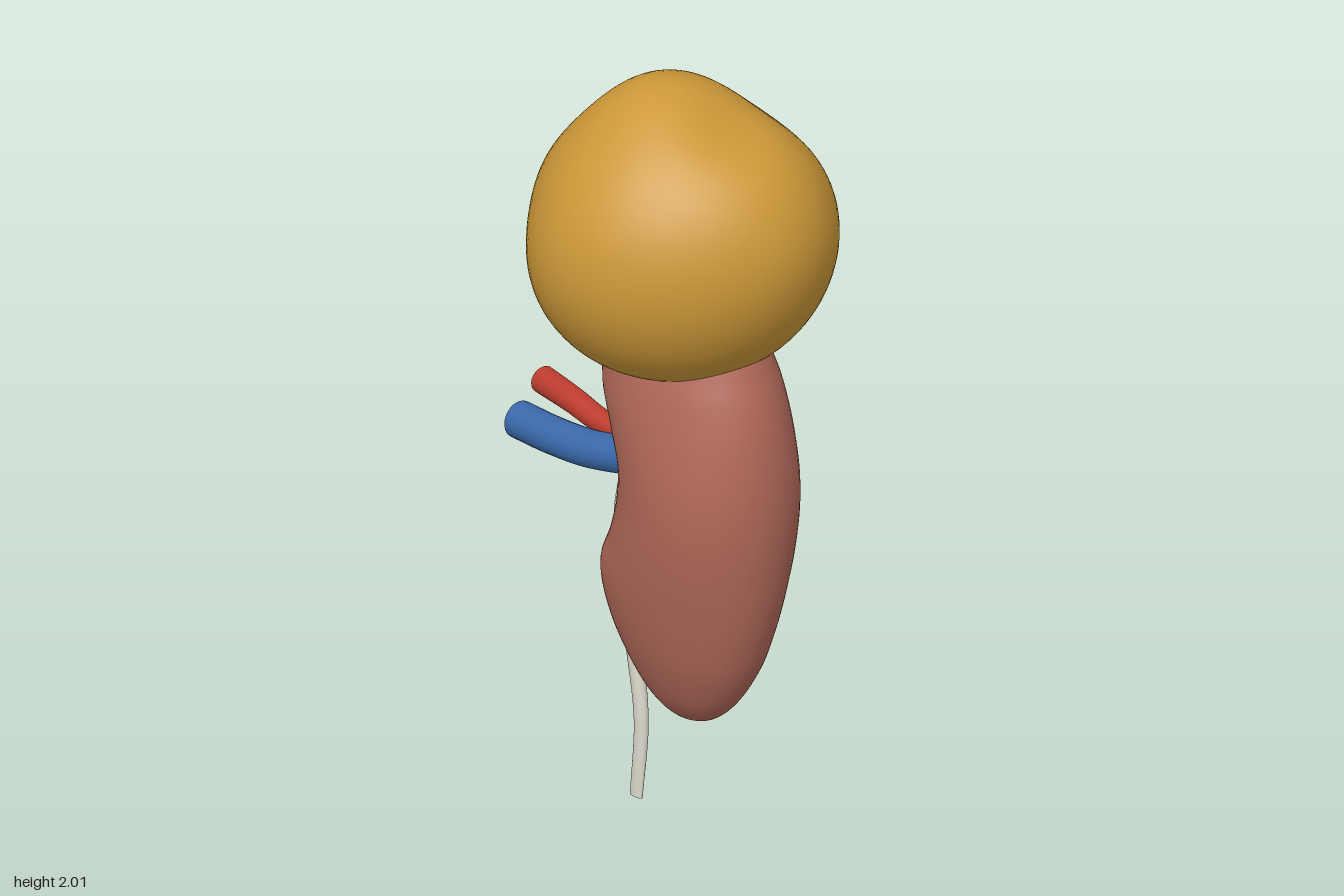
import * as THREE from 'three';
import { mergeVertices } from 'three/addons/utils/BufferGeometryUtils.js';

const V = (x, y, z) => new THREE.Vector3(x, y, z);
const mat = (name, color, side = THREE.FrontSide) => {
  const m = new THREE.MeshStandardMaterial({ color, side });
  m.name = name;
  return m;
};

// Weld seams and poles so the shading is smooth all round
function smooth(geo) {
  geo.deleteAttribute('uv');
  geo.deleteAttribute('normal');
  const g = mergeVertices(geo, 1e-5);
  g.computeVertexNormals();
  return g;
}

// Grid bent into a surface by fn(u, v)
function surface(fn, nu, nv) {
  const g = new THREE.PlaneGeometry(1, 1, nu, nv);
  const p = g.attributes.position;
  for (let i = 0; i < p.count; i++) {
    const q = fn(p.getX(i) + 0.5, p.getY(i) + 0.5);
    p.setXYZ(i, q.x, q.y, q.z);
  }
  return smooth(g);
}

// Tube whose width along x and z follows size(t)
function taperedTube(points, size, n = 48) {
  const curve = new THREE.CatmullRomCurve3(points);
  const sides = 20;
  const g = new THREE.TubeGeometry(curve, n, 1, sides);
  const p = g.attributes.position;
  for (let i = 0; i <= n; i++) {
    const c = curve.getPointAt(i / n);
    const [sx, sz] = size(i / n);
    for (let j = 0; j <= sides; j++) {
      const k = i * (sides + 1) + j;
      p.setXYZ(k, c.x + (p.getX(k) - c.x) * sx, c.y + (p.getY(k) - c.y) * sx, c.z + (p.getZ(k) - c.z) * sz);
    }
  }
  return smooth(g);
}

// Kidney sections: y, left edge, right edge, half depth, depth centre
const SECTIONS = [
  [0.325, 0.115, 0.115, 0, 0.015],
  [0.34, 0.045, 0.19, 0.045, 0.015],
  [0.40, -0.025, 0.262, 0.092, 0.015],
  [0.50, -0.095, 0.325, 0.137, 0.012],
  [0.60, -0.143, 0.362, 0.166, 0.01],
  [0.70, -0.155, 0.387, 0.186, 0.008],
  [0.80, -0.108, 0.402, 0.198, 0.006],
  [0.90, -0.076, 0.411, 0.204, 0.004],
  [1.00, -0.072, 0.411, 0.205, 0.002],
  [1.10, -0.112, 0.401, 0.201, 0],
  [1.20, -0.157, 0.381, 0.191, -0.003],
  [1.30, -0.15, 0.345, 0.168, -0.005],
  [1.40, -0.06, 0.28, 0.12, -0.005],
  [1.47, 0.1, 0.1, 0, -0.005],
];
const edges = new THREE.CatmullRomCurve3(SECTIONS.map(s => V(s[1], s[0], s[2])), false, 'catmullrom');
const depths = new THREE.CatmullRomCurve3(SECTIONS.map(s => V(s[3], s[0], s[4])), false, 'catmullrom');

function kidneyPoint(u, v) {
  const e = edges.getPoint(v), d = depths.getPoint(v), a = u * Math.PI * 2;
  return V((e.x + e.z) / 2 + (e.z - e.x) / 2 * Math.sin(a), e.y, d.z + d.x * Math.cos(a));
}

// Bumps of the growth: direction, height, sharpness
const BUMPS = [
  [V(-0.12, 1, 0.1), 0.034, 9],
  [V(0.95, 0.25, -0.15), 0.032, 6],
  [V(0.65, 0.7, -0.2), 0.016, 10],
  [V(0.42, 0.88, -0.1), -0.022, 24],
  [V(-0.72, 0.7, 0.1), -0.026, 12],
  [V(0.1, 0.75, -0.66), -0.03, 9],
  [V(-0.62, 0.15, 0.75), -0.018, 9],
  [V(0.1, -1, 0), -0.022, 5],
  [V(0, 0, 1), 0.014, 6],
  [V(0, -0.1, -1), 0.018, 6],
  [V(-1, 0, -0.1), 0.012, 6],
].map(([d, h, k]) => [d.normalize(), h, k]);

function growthGeometry() {
  const g = new THREE.SphereGeometry(1, 72, 48);
  const p = g.attributes.position, d = V(0, 0, 0);
  for (let i = 0; i < p.count; i++) {
    d.fromBufferAttribute(p, i).normalize();
    let r = 0.378;
    for (const [dir, h, k] of BUMPS) r += h * Math.exp(k * (d.dot(dir) - 1));
    p.setXYZ(i, 0.05 + d.x * r, 1.605 + d.y * r, d.z * r);
  }
  return smooth(g);
}

export function createModel() {
  const group = new THREE.Group();
  const add = (name, geo, material) => {
    const m = new THREE.Mesh(geo, material);
    m.name = name;
    group.add(m);
    return m;
  };
  const flesh = mat('kidneyFlesh', 0xb06858);
  const gold = mat('growthGold', 0xcc9838);
  const fat = mat('sinusFat', 0xc4ae5c, THREE.DoubleSide);
  const gland = mat('glandAmber', 0xbd8a30);
  const red = mat('arteryRed', 0xbc3c2e, THREE.DoubleSide);
  const blue = mat('veinBlue', 0x3a68aa, THREE.DoubleSide);
  const pale = mat('ureterPale', 0xd8d4c8, THREE.DoubleSide);

  add('kidney', surface(kidneyPoint, 64, 80), flesh);
  add('growth', growthGeometry(), gold);

  // Fat filling the notch on the inner side
  add('hilumFat', surface((u, v) => {
    const w = 0.085 * Math.sin(Math.PI * (0.1 + 0.8 * v));
    const q = kidneyPoint(0.75 + (u - 0.5) * 2 * w, 0.4 + 0.35 * v);
    q.x -= 0.028 * Math.sin(Math.PI * u) * Math.sin(Math.PI * v) - 0.003;
    return q;
  }, 16, 32), fat);

  // Small gland: a bent wedge pointing down
  const cone = new THREE.ConeGeometry(0.042, 0.18, 24, 8);
  cone.rotateX(Math.PI);
  const cp = cone.attributes.position;
  for (let i = 0; i < cp.count; i++) {
    const t = 0.5 - cp.getY(i) / 0.18;
    const fuller = 1 + 0.9 * t * (1 - t);
    cp.setXYZ(i, cp.getX(i) * fuller - 0.185 + 0.025 * t * t, cp.getY(i) + 1.23, cp.getZ(i) * fuller * 1.2);
  }
  add('adrenalGland', smooth(cone), gland);

  // Open-ended vessels
  add('artery', taperedTube(
    [V(-0.465, 0.995, 0.005), V(-0.34, 0.995, 0.015), V(-0.22, 0.985, 0.02), V(-0.13, 0.985, 0.01), V(-0.03, 1.0, 0)],
    t => [0.035 - 0.008 * t, 0.035 - 0.008 * t]), red);
  add('vein', taperedTube(
    [V(-0.455, 0.918, 0.087), V(-0.32, 0.925, 0.083), V(-0.2, 0.935, 0.07), V(-0.11, 0.95, 0.05), V(-0.03, 0.965, 0.03)],
    t => [0.047, 0.047]), blue);

  // Funnel and the duct below it
  add('renalPelvis', taperedTube(
    [V(-0.05, 0.95, -0.005), V(-0.105, 0.89, -0.005), V(-0.145, 0.8, -0.005), V(-0.172, 0.685, -0.005)],
    t => [0.048 - 0.026 * t, 0.055 - 0.031 * t]), pale);
  add('ureter', taperedTube(
    [V(-0.172, 0.7, -0.005), V(-0.173, 0.55, -0.015), V(-0.155, 0.38, -0.028), V(-0.125, 0.2, -0.025), V(-0.125, 0, -0.01)],
    t => [0.021, 0.022 - 0.012 * t * t]), pale);

  return group;
}
